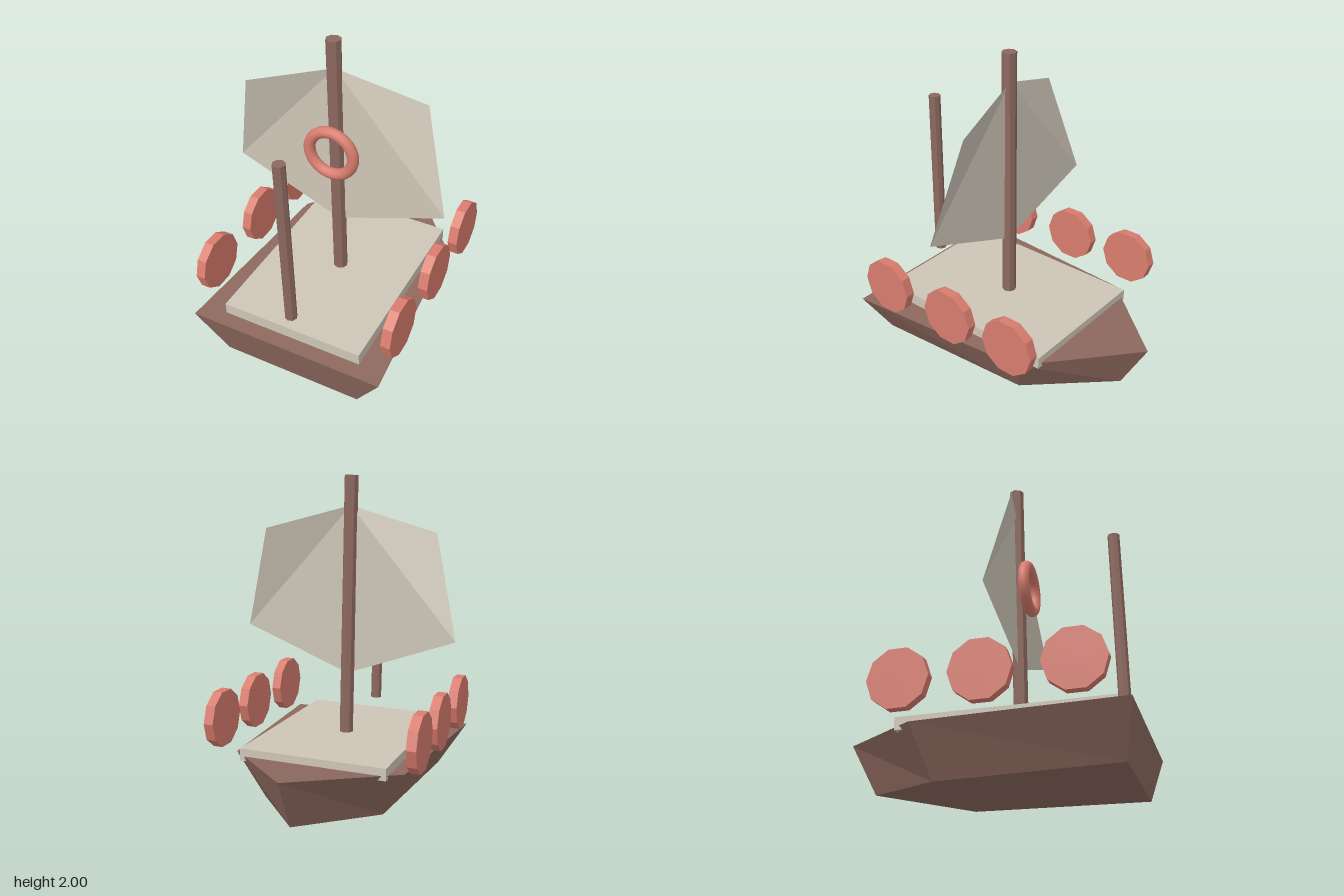
import * as THREE from 'three';

const wood = new THREE.MeshStandardMaterial({ name: 'brown wood', color: 0x8d695f });
const canvas = new THREE.MeshStandardMaterial({ name: 'cream canvas', color: 0xcdc5b6, side: THREE.DoubleSide });
const coral = new THREE.MeshStandardMaterial({ name: 'coral red', color: 0xd87c6e });

// Flat-shaded mesh geometry from shared corners and triangles
function faceted(points, triangles) {
  const geometry = new THREE.BufferGeometry();
  geometry.setAttribute('position', new THREE.Float32BufferAttribute(points.flat(), 3));
  geometry.setIndex(triangles.flat());
  const flat = geometry.toNonIndexed();
  flat.computeVertexNormals();
  return flat;
}

export function createModel() {
  const ship = new THREE.Group();
  ship.name = 'ship';
  // The whole ship leans slightly to one side
  ship.rotation.z = 0.02;
  ship.position.x = 0.015;

  function add(name, geometry, material, x = 0, y = 0, z = 0) {
    const mesh = new THREE.Mesh(geometry, material);
    mesh.name = name;
    mesh.position.set(x, y, z);
    ship.add(mesh);
    return mesh;
  }

  function pole(name, radius, bottom, top, z) {
    const geometry = new THREE.CylinderGeometry(radius, radius, top - bottom, 8).toNonIndexed();
    geometry.computeVertexNormals();
    return add(name, geometry, wood, 0, (bottom + top) / 2, z);
  }

  // Hull: five-sided deck outline over a smaller keel outline
  const deck = [[-0.632, 0.298, 0.9], [0.632, 0.298, 0.9], [0.538, 0.313, -0.325], [0, 0.38, -0.905], [-0.538, 0.313, -0.325]];
  const keel = [[-0.455, 0.012, 0.83], [0.455, 0.012, 0.83], [0.387, 0.012, -0.235], [0, 0.062, -0.735], [-0.387, 0.012, -0.235]];
  const faces = [[4, 0, 1], [4, 1, 2], [4, 2, 3], [9, 6, 5], [9, 7, 6], [9, 8, 7]];
  for (let i = 0; i < 5; i++) {
    const j = (i + 1) % 5;
    faces.push([i, i + 5, j + 5], [i, j + 5, j]);
  }
  add('hull', faceted([...deck, ...keel], faces), wood);

  // Raised deck slab
  add('deckSlab', new THREE.BoxGeometry(0.92, 0.075, 1.243), canvas, 0, 0.336, 0.183);

  // Masts
  pole('mainMast', 0.045, 0.34, 2.0, 0.165);
  pole('frontMast', 0.037, 0.455, 1.575, 0.778);

  // Twisted six-cornered sail
  const sail = [
    [0, 1.815, 0.16], [-0.523, 1.662, 0.272], [-0.695, 1.018, 0.147],
    [0, 0.757, 0.166], [0.695, 1.018, 0.177], [0.523, 1.662, 0.056],
  ];
  add('sail', faceted(sail, [[0, 1, 2], [0, 2, 3], [0, 3, 4], [0, 4, 5]]), canvas);

  // Ring hung on the mast
  add('ring', new THREE.TorusGeometry(0.143, 0.035, 12, 36), coral, 0, 1.29, 0.235);

  // Three round shields along each side
  const disc = new THREE.CylinderGeometry(0.18, 0.18, 0.06, 10).rotateZ(Math.PI / 2).toNonIndexed();
  disc.computeVertexNormals();
  for (const side of [-1, 1]) {
    for (const z of [0.623, 0.113, -0.35]) {
      add(side > 0 ? 'leftShield' : 'rightShield', disc, coral, side * 0.625, 0.525, z);
    }
  }

  const model = new THREE.Group();
  model.name = 'model';
  model.add(ship);
  return model;
}
